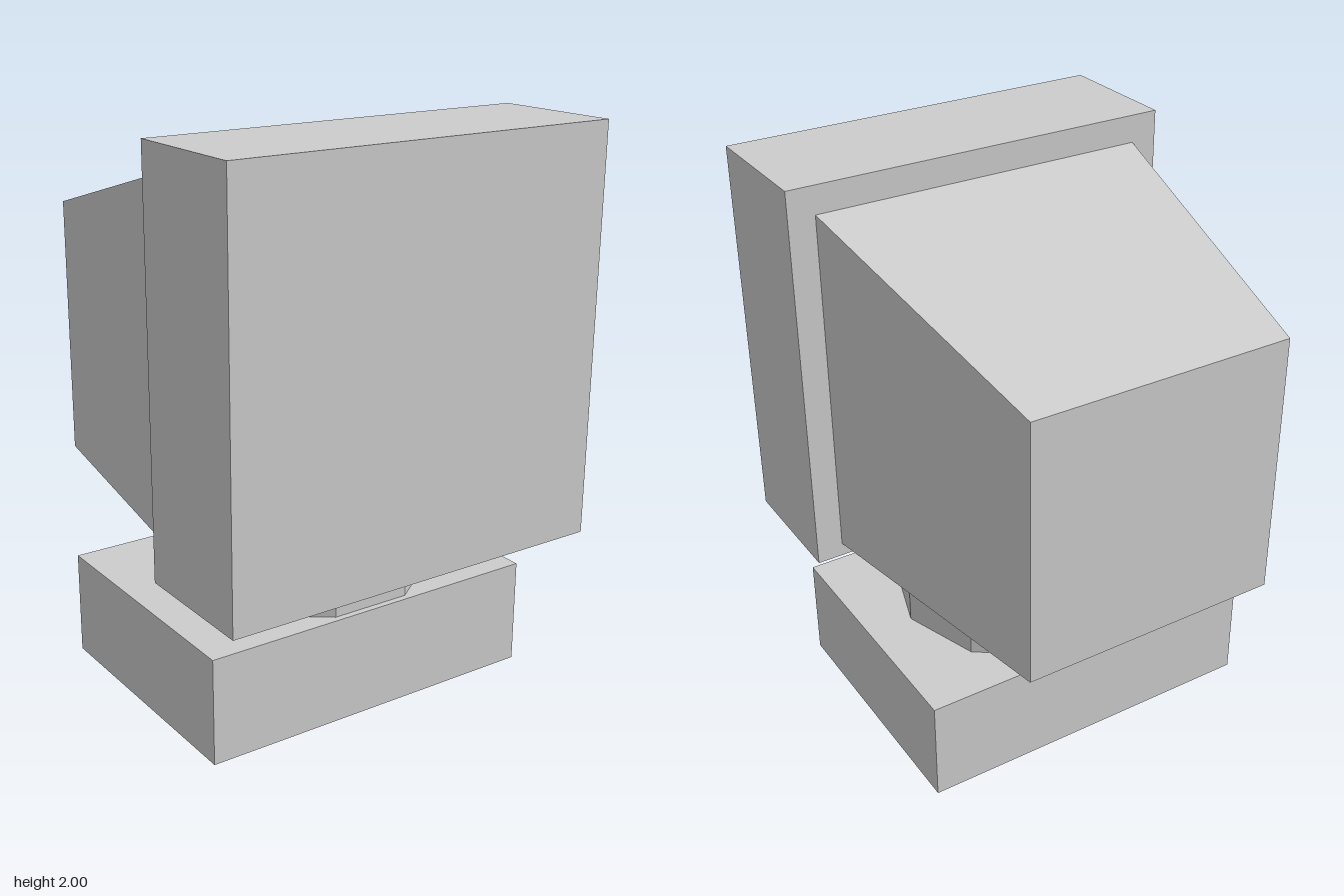
import * as THREE from 'three';

export function createModel() {
  const group = new THREE.Group();
  const casing = new THREE.MeshStandardMaterial({ color: 0xcccccc });
  casing.name = 'casing grey';
  casing.flatShading = true;

  const add = (name, geometry, x, y, z) => {
    const mesh = new THREE.Mesh(geometry, casing);
    mesh.name = name;
    mesh.position.set(x, y, z);
    group.add(mesh);
  };

  // Box given by its width and its extents in y and z
  const addBox = (name, width, y0, y1, z0, z1) =>
    add(name, new THREE.BoxGeometry(width, y1 - y0, z1 - z0), 0, (y0 + y1) / 2, (z0 + z1) / 2);

  addBox('base', 1.286, 0, 0.38, -0.427, 0.525);
  addBox('frontHousing', 1.426, 0.575, 2, 0.288, 0.762);

  // Ten-sided swivel with corners on the x axis
  add('swivel', new THREE.CylinderGeometry(0.475, 0.475, 0.195, 10, 1, false, Math.PI / 2), 0, 0.4775, 0.05);

  // Rear housing: a box whose back end is narrower and lower
  const rear = new THREE.BoxGeometry(1, 1, 1);
  const front = { half: 0.617, bottom: 0.625, top: 1.9, z: 0.288 };
  const back = { half: 0.475, bottom: 0.67, top: 1.62, z: -0.762 };
  const p = rear.attributes.position;
  for (let i = 0; i < p.count; i++) {
    const end = p.getZ(i) > 0 ? front : back;
    p.setXYZ(i, Math.sign(p.getX(i)) * end.half, p.getY(i) > 0 ? end.top : end.bottom, end.z);
  }
  rear.computeVertexNormals();
  add('rearHousing', rear, 0, 0, 0);

  return group;
}
